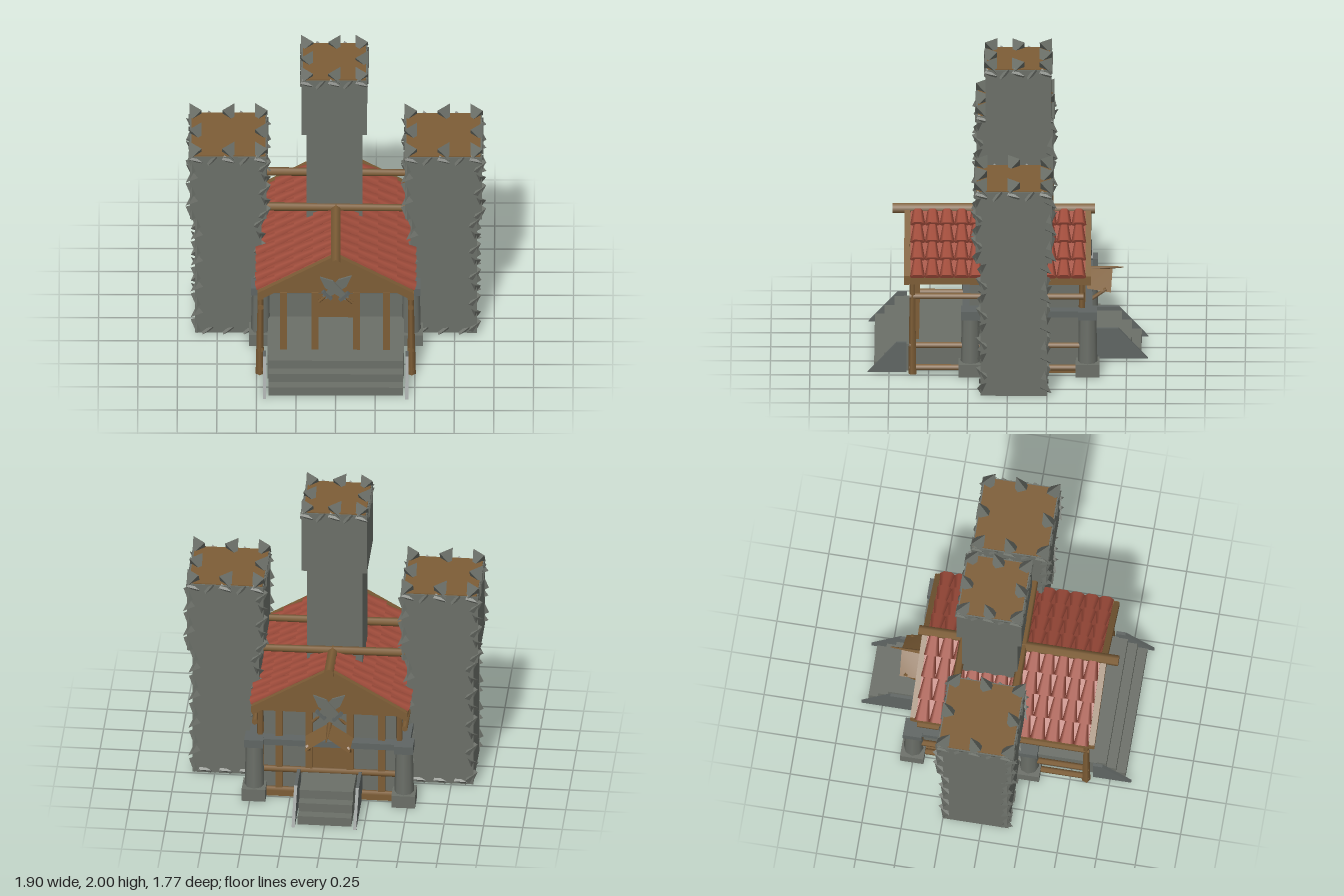
import * as THREE from 'three';

const mat = (name, color, side = THREE.FrontSide) => {
  const m = new THREE.MeshStandardMaterial({ color, side });
  m.name = name;
  return m;
};

export function createModel() {
  const stone = mat('stone', 0x6b6f68);
  const darkStone = mat('dark stone', 0x5f6563);
  const wood = mat('wood', 0x7d5d36);
  const tile = mat('roof tile', 0xa04c3b);
  const root = new THREE.Group();
  root.name = 'castleHall';

  const add = (name, geo, material, parent = root) => {
    const mesh = new THREE.Mesh(geo, material);
    mesh.name = name;
    parent.add(mesh);
    return mesh;
  };
  const group = (name) => {
    const g = new THREE.Group();
    g.name = name;
    root.add(g);
    return g;
  };
  // Box given by its lower and upper corners
  const box = (name, a, b, material, parent) => {
    const m = add(name, new THREE.BoxGeometry(b[0] - a[0], b[1] - a[1], b[2] - a[2]), material, parent);
    m.position.set((a[0] + b[0]) / 2, (a[1] + b[1]) / 2, (a[2] + b[2]) / 2);
    return m;
  };
  // Round timber between two points
  const beam = (name, a, b, r0, r1, material, parent, sides = 6) => {
    const p = new THREE.Vector3(...a), q = new THREE.Vector3(...b);
    const d = q.clone().sub(p);
    const m = add(name, new THREE.CylinderGeometry(r1, r0, d.length(), sides), material, parent);
    m.position.copy(p).add(q).multiplyScalar(0.5);
    m.quaternion.setFromUnitVectors(new THREE.Vector3(0, 1, 0), d.normalize());
    return m;
  };
  // Wedge stone: a tetrahedron that fills a block of the given size
  const chipGeo = new THREE.TetrahedronGeometry(Math.sqrt(3) / 2);
  const chip = (name, pos, size, rot, parent) => {
    const m = add(name, chipGeo, stone, parent);
    m.position.set(...pos);
    m.scale.set(...size);
    m.rotation.set(...rot);
  };

  // Towers: shaft, wider crown, plank floor, merlons and edge stones
  const tower = (name, cx, cz, shaftHalf, crownHalf, y0, y1, y2, merlon, edged) => {
    const g = group(name);
    box('shaft', [cx - shaftHalf, y0, cz - shaftHalf], [cx + shaftHalf, y1, cz + shaftHalf], stone, g);
    box('crown', [cx - crownHalf, y1, cz - crownHalf], [cx + crownHalf, y2, cz + crownHalf], stone, g);
    const f = crownHalf - 0.008;
    box('towerFloor', [cx - f, y2, cz - f], [cx + f, y2 + 0.006, cz + f], wood, g);
    const inset = crownHalf - 0.034;
    for (let i = -1; i <= 1; i++) for (let j = -1; j <= 1; j++) {
      if (!i && !j) continue;
      chip('merlon', [cx + i * inset, y2 + merlon / 2 - 0.01, cz + j * inset],
        [0.078, merlon + 0.02, 0.078], [0, (i + j) % 2 ? Math.PI / 2 : 0, 0], g);
    }
    // Slanting stones under the crown rim
    for (let s = 0; s < 4; s++) for (let k = 0; k < 5; k++) {
      const t = (k - 2) * crownHalf * 0.42, c = Math.cos(s * Math.PI / 2), n = Math.sin(s * Math.PI / 2);
      chip('rimStone', [cx + c * t + n * crownHalf, y2 - 0.025, cz - n * t + c * crownHalf],
        [0.08, 0.03, 0.02], [0, s * Math.PI / 2, k % 2 ? 0.6 : -0.6, 'YXZ'], g);
    }
    if (!edged) return;
    // Corner stones
    for (const sx of [-1, 1]) for (const sz of [-1, 1]) {
      const column = (half, from, to, n) => {
        for (let k = 0; k < n; k++) {
          const side = k % 2 ? 1 : -1;
          chip('cornerStone',
            [cx + sx * (half - 0.012), from + (to - from) * (k + 0.5) / n, cz + sz * (half - 0.012)],
            [0.045, 0.09, 0.045], [side * sz * 0.45, 0, side * sx * 0.45], g);
        }
      };
      column(shaftHalf, y0, y1, 9);
      column(crownHalf, y1, y2 - 0.03, 5);
    }
    for (const sx of [-1, 1]) for (const k of [-1, 0, 1]) {
      chip('footStone', [cx + k * 0.13, y0 + 0.02, cz + sx * shaftHalf], [0.08, 0.03, 0.02], [0, 0, 0.4], g);
    }
  };
  tower('rightTower', -0.68, -0.04, 0.21, 0.242, 0.005, 0.91, 1.39, 0.07, true);
  tower('leftTower', 0.68, -0.04, 0.21, 0.242, 0.005, 0.91, 1.39, 0.07, true);
  tower('centralTower', -0.01, -0.065, 0.177, 0.207, 0.4, 1.52, 1.94, 0.06, false);

  // Hall: floor, walls and porch platform
  const hall = group('hall');
  box('floorBoards', [-0.47, 0.002, -0.5], [0.47, 0.04, 0.24], wood, hall);
  box('hallWalls', [-0.42, 0.03, -0.46], [0.42, 0.62, 0.24], stone, hall);
  box('porchPlatform', [-0.43, 0, 0.24], [0.43, 0.18, 0.66], stone, hall);
  box('frontDoor', [-0.12, 0.18, 0.24], [0.11, 0.39, 0.248], wood, hall);
  box('backDoor', [-0.11, 0.18, -0.468], [0.11, 0.42, -0.46], wood, hall);

  // Stone corner pillars and the ledge they carry
  const ledge = group('stoneLedge');
  for (const sx of [-1, 1]) for (const z of [0.235, -0.505]) {
    const x = sx * 0.475;
    box('pillarBase', [x - 0.075, 0, z - 0.075], [x + 0.075, 0.085, z + 0.075], stone, ledge);
    beam('pillar', [x, 0.08, z], [x, 0.4, z], 0.062, 0.055, stone, ledge, 8);
    box('pillarCap', [x - 0.06, 0.38, z - 0.06], [x + 0.06, 0.435, z + 0.06], darkStone, ledge);
  }
  for (const z of [0.25, -0.5]) box('crossLedge', [-0.53, 0.39, z - 0.035], [0.53, 0.432, z + 0.035], darkStone, ledge);
  for (const x of [-0.475, 0.475]) box('sideLedge', [x - 0.035, 0.39, -0.5], [x + 0.035, 0.432, 0.25], darkStone, ledge);

  // Timber frame
  const frame = group('timberFrame');
  for (const x of [-0.33, -0.13, 0.13, 0.32]) {
    box('frontPost', [x - 0.022, 0.18, 0.56], [x + 0.022, 0.62, 0.6], wood, frame);
    box('backPost', [x - 0.022, 0.03, -0.49], [x + 0.022, 0.62, -0.45], wood, frame);
  }
  for (const x of [-0.475, 0.475]) {
    beam('cornerPost', [x * 1.01, 0, 0.6], [x, 0.63, 0.6], 0.028, 0.018, wood, frame, 5);
    beam('backCornerPost', [x * 0.93, 0, -0.47], [x * 0.93, 0.63, -0.47], 0.024, 0.02, wood, frame, 5);
    for (const y of [0.04, 0.19, 0.52]) beam('sideRail', [x, y, 0.62], [x, y, -0.48], 0.02, 0.02, wood, frame);
    box('eavesBeam', [x - 0.02, 0.605, -0.51], [x + 0.02, 0.655, 0.65], wood, frame);
  }
  for (const y of [0.04, 0.19]) beam('backRail', [-0.46, y, -0.48], [0.46, y, -0.48], 0.02, 0.02, wood, frame);
  beam('ridgeBeam', [0, 0.935, 0.73], [0, 0.935, -0.55], 0.035, 0.033, wood, frame);
  beam('frontCrossBeam', [-0.46, 0.95, 0.12], [0.46, 0.94, 0.12], 0.028, 0.022, wood, frame);
  beam('backCrossBeam', [-0.46, 0.95, -0.26], [0.46, 0.94, -0.26], 0.028, 0.022, wood, frame);

  // Roof
  const extrude = (pts, depth) => new THREE.ExtrudeGeometry(
    new THREE.Shape(pts.map((p) => new THREE.Vector2(...p))), { depth, bevelEnabled: false });
  const roof = group('roof');
  for (const z of [0.56, -0.49]) {
    add('gablePanel', extrude([[-0.46, 0.615], [0.46, 0.615], [0.46, 0.65], [0, 0.92], [-0.46, 0.65]], 0.03), wood, roof).position.z = z;
  }
  const tileGeo = new THREE.CylinderGeometry(0.026, 0.048, 0.155, 6);
  for (const s of [-1, 1]) {
    const strip = (lo, hi) => {
      const pts = [[s * 0.49, 0.655 + lo], [s * 0.49, 0.655 + hi], [0, 0.945 + hi], [0, 0.945 + lo]];
      return s > 0 ? pts : pts.reverse();
    };
    add('roofBoards', extrude(strip(-0.03, -0.012), 1.13), wood, roof).position.z = -0.505;
    add('roofSlab', extrude(strip(-0.012, 0), 1.11), tile, roof).position.z = -0.495;
    for (const z of [0.62, -0.525]) add('bargeboard', extrude(strip(-0.055, 0.005), 0.035), wood, roof).position.z = z;
    const angle = Math.atan2(0.29, 0.49);
    for (let row = 0; row < 4; row++) for (let col = 0; col < 12; col++) {
      const t = (row + 0.55) / 4;
      const m = add('rooftile', tileGeo, tile, roof);
      m.position.set(s * 0.485 * t, 0.945 - 0.29 * t + 0.006, 0.57 - col * 0.0925);
      m.rotation.z = s * (Math.PI / 2 - angle + 0.06);
      m.scale.x = 0.5;
    }
  }

  // Crossed blades on both gables
  const bladePts = [[-0.016, -0.1], [0.016, -0.1], [0.036, 0.06], [0, 0.14], [-0.036, 0.06]];
  const blades = (name, z, ry) => {
    const g = group(name);
    for (const s of [-1, 1]) {
      const b = new THREE.Group();
      b.name = 'blade';
      g.add(b);
      add('bladePlate', extrude(bladePts, 0.012), stone, b);
      box('guard', [-0.04, -0.085, -0.004], [0.04, -0.065, 0.018], darkStone, b);
      beam('grip', [0, -0.15, 0.006], [0, -0.08, 0.006], 0.01, 0.01, wood, b, 5);
      b.rotation.z = s * 0.8;
      b.position.z = s * 0.007;
    }
    g.position.set(0, 0.665, z);
    g.rotation.y = ry;
  };
  blades('frontBlades', 0.61, 0);
  blades('backBlades', -0.51, Math.PI);

  // Stairs with sloping cheek walls
  const stairs = (name, half, start, ry) => {
    const g = group(name);
    for (let i = 0; i < 3; i++) {
      box('step', [-half, 0, start], [half, 0.06 * (3 - i), 0.72 + i * 0.062], stone, g);
    }
    for (const s of [-1, 1]) {
      const cheek = add('cheekWall', extrude([[start, 0], [0.885, 0], [0.7, 0.2], [start, 0.2]], 0.02), darkStone, g);
      cheek.rotation.y = -Math.PI / 2;
      cheek.position.x = s * (half + 0.025) + 0.01;
    }
    g.rotation.y = ry;
  };
  stairs('frontStairs', 0.425, 0.64, 0);
  stairs('backStairs', 0.17, 0.46, Math.PI);

  // Small awning above the back door
  const awning = group('backAwning');
  const awningWood = mat('awning wood', 0x7d5d36, THREE.DoubleSide);
  for (const s of [-1, 1]) {
    const geo = new THREE.BufferGeometry();
    geo.setAttribute('position', new THREE.Float32BufferAttribute(
      [0, 0.545, -0.49, 0, 0.53, -0.66, s * 0.15, 0.45, -0.5, s * 0.14, 0.42, -0.65], 3));
    geo.setIndex([0, 1, 2, 2, 1, 3]);
    geo.computeVertexNormals();
    add('awningSlope', geo, awningWood, awning);
    beam('awningBrace', [s * 0.13, 0.34, -0.48], [s * 0.13, 0.44, -0.62], 0.012, 0.012, wood, awning, 5);
  }
  beam('awningRidge', [0, 0.53, -0.48], [0, 0.54, -0.73], 0.018, 0.004, wood, awning, 5);

  return root;
}
